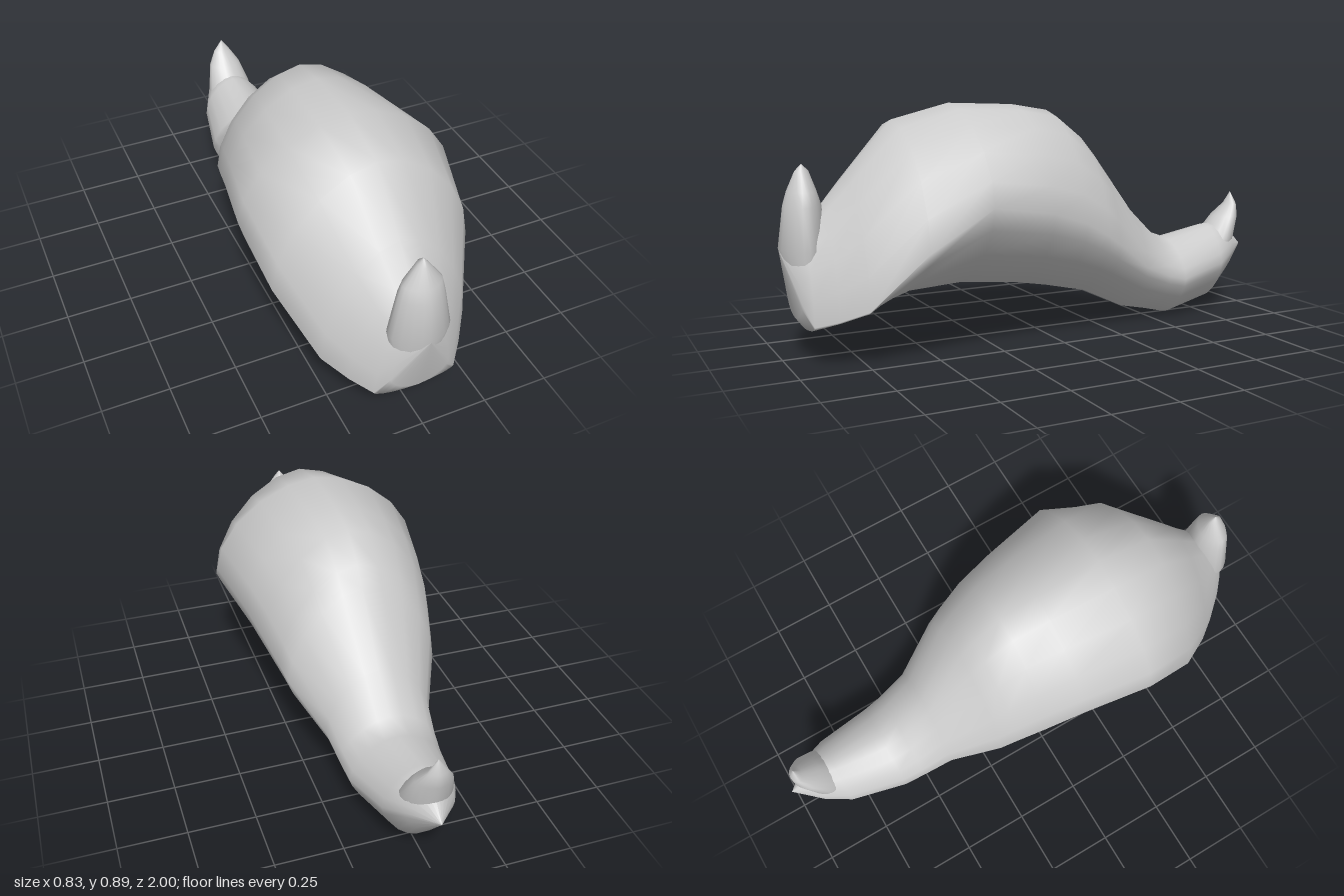
import * as THREE from 'three';

const SIDES = 20;
const material = new THREE.MeshStandardMaterial({ color: 0xcccccc, side: THREE.DoubleSide });

// Skin a list of closed rings into one smooth surface
function loft(name, rings) {
  const index = [];
  for (let i = 0; i < rings.length - 1; i++) {
    for (let j = 0; j < SIDES; j++) {
      const a = i * SIDES + j, b = i * SIDES + (j + 1) % SIDES;
      index.push(a, b, a + SIDES, b, b + SIDES, a + SIDES);
    }
  }
  const geometry = new THREE.BufferGeometry();
  geometry.setAttribute('position', new THREE.Float32BufferAttribute(rings.flat(2), 3));
  geometry.setIndex(index);
  geometry.computeVertexNormals();
  const mesh = new THREE.Mesh(geometry, material);
  mesh.name = name;
  return mesh;
}

// Superellipse ring: n = 2 is round, lower is closer to a diamond
const bend = (v, n) => Math.sign(v) * Math.pow(Math.abs(v), 2 / n);
const ring = (point) => Array.from({ length: SIDES }, (_, j) => {
  const t = j / SIDES * Math.PI * 2;
  return point(Math.cos(t), Math.sin(t));
});

// Section across the body, widest at midY; the belly is more keeled under the tail
function bodyRing([z, top, midY, bottom, halfWidth]) {
  const lower = z < -0.3 ? 1.4 : 1.65;
  return ring((c, s) => [
    bend(c, 1.75) * halfWidth,
    s >= 0 ? midY + bend(s, 1.75) * (top - midY) : midY + bend(s, lower) * (midY - bottom),
    z,
  ]);
}

// Horizontal section of an upright horn
function hornRing([y, back, front, halfWidth]) {
  return ring((c, s) => [
    bend(c, 1.7) * halfWidth,
    y,
    (back + front) / 2 - bend(s, 1.7) * (front - back) / 2,
  ]);
}

export function createModel() {
  const group = new THREE.Group();
  group.name = 'archedCreature';

  // Body, from tail tip to snout: z, top, midY, bottom, halfWidth
  group.add(loft('body', [
    [-1.00, 0.26, 0.26, 0.26, 0],
    [-0.90, 0.36, 0.25, 0.145, 0.09],
    [-0.81, 0.36, 0.21, 0.05, 0.135],
    [-0.60, 0.32, 0.17, 0, 0.178],
    [-0.52, 0.35, 0.19, 0.02, 0.187],
    [-0.40, 0.47, 0.24, 0.045, 0.203],
    [-0.22, 0.705, 0.36, 0.13, 0.288],
    [-0.16, 0.775, 0.40, 0.143, 0.305],
    [-0.05, 0.86, 0.46, 0.168, 0.335],
    [0.10, 0.885, 0.51, 0.195, 0.365],
    [0.36, 0.895, 0.555, 0.222, 0.415],
    [0.58, 0.84, 0.41, 0.215, 0.38],
    [0.76, 0.645, 0.21, 0.17, 0.28],
    [0.85, 0.54, 0.17, 0.135, 0.215],
    [0.92, 0.48, 0.145, 0.11, 0.155],
    [0.95, 0.45, 0.22, 0.15, 0.11],
    [1.00, 0.40, 0.40, 0.40, 0],
  ].map(bodyRing)));

  // Upright horns: y, back z, front z, halfWidth
  group.add(loft('noseHorn', [
    [0.16, 0.88, 0.935, 0.06],
    [0.40, 0.83, 1.00, 0.115],
    [0.55, 0.845, 0.98, 0.085],
    [0.60, 0.86, 0.965, 0.072],
    [0.67, 0.885, 0.935, 0.02],
    [0.695, 0.91, 0.91, 0],
  ].map(hornRing)));

  group.add(loft('tailHorn', [
    [0.25, -0.94, -0.76, 0.08],
    [0.30, -0.945, -0.78, 0.095],
    [0.39, -0.97, -0.86, 0.068],
    [0.44, -0.968, -0.92, 0.036],
    [0.49, -0.945, -0.945, 0],
  ].map(hornRing)));

  return group;
}
